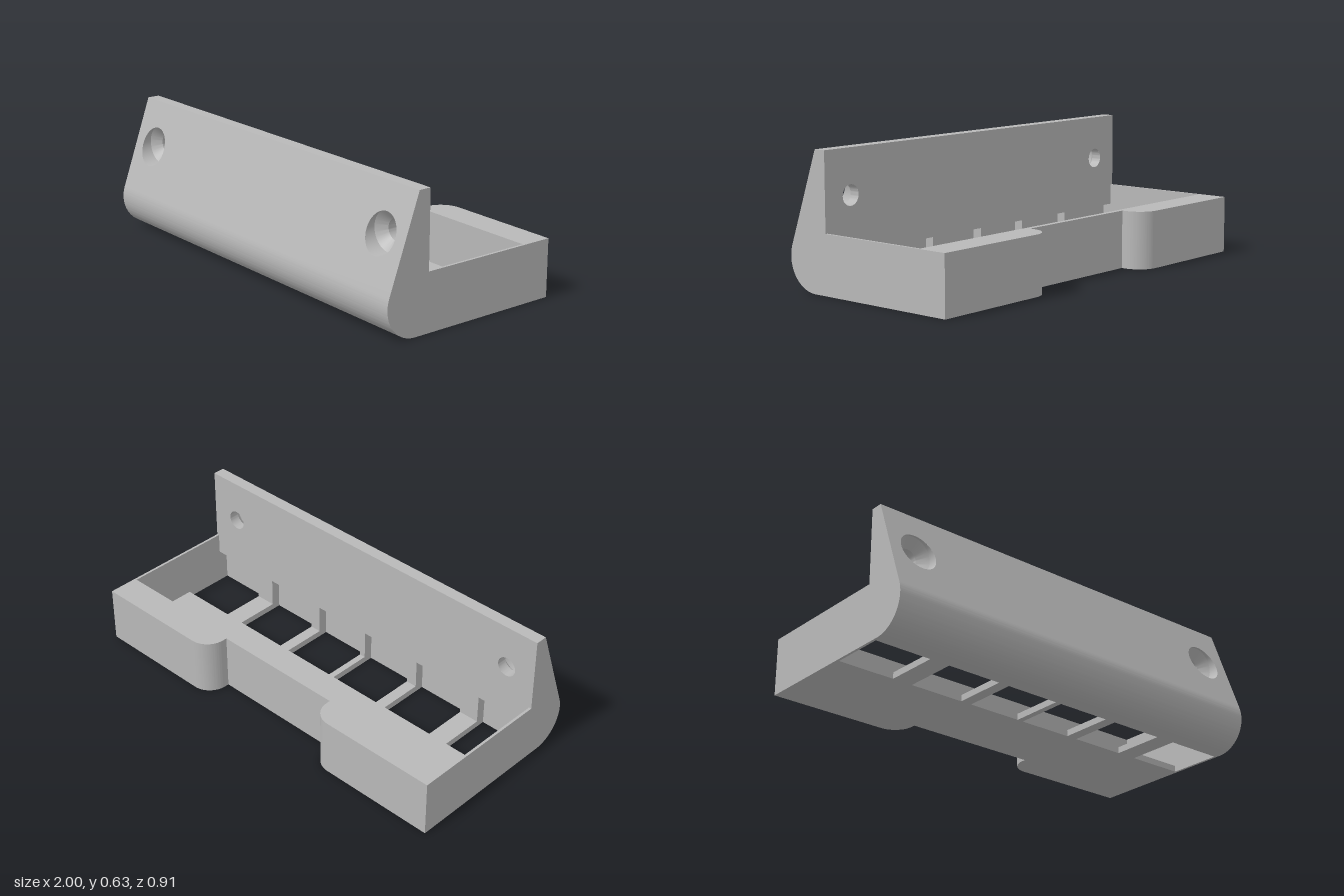
import * as THREE from 'three';
import { toCreasedNormals } from 'three/addons/utils/BufferGeometryUtils.js';

const H = 0.27, TOP = 0.627, BACK = 0.235, FLOOR = 0.03, WALL = 0.012;
const POCKET_Z = 0.28, POCKET_Y = 0.17, HOLE_X = 0.85, HOLE_Y = 0.42, R = 0.09, r = 0.047;
// depth of the sloping front face at a given height
const slopeZ = (y) => 0.446 - 0.358 * (y - 0.2);

export function createModel() {
  const model = new THREE.Group();
  const grey = new THREE.MeshStandardMaterial({ color: 0xb8b8b8 });

  const add = (name, geometry, parent = model) => {
    const mesh = new THREE.Mesh(geometry, grey);
    mesh.name = name;
    parent.add(mesh);
    return mesh;
  };
  const box = (name, x0, x1, y0, y1, z0, z1) => {
    const g = new THREE.BoxGeometry(x1 - x0, y1 - y0, z1 - z0);
    add(name, g.translate((x0 + x1) / 2, (y0 + y1) / 2, (z0 + z1) / 2));
  };
  // extrude a (z, y) profile along x
  const slab = (name, shape, x0, x1) => {
    const g = new THREE.ExtrudeGeometry(shape, { depth: x1 - x0, bevelEnabled: false, curveSegments: 32 });
    add(name, toCreasedNormals(g.rotateY(-Math.PI / 2).translate(x1, 0, 0), 0.5));
  };
  const wedge = (y0, y1) => new THREE.Shape([
    new THREE.Vector2(BACK, y0), new THREE.Vector2(slopeZ(y0), y0),
    new THREE.Vector2(slopeZ(y1), y1), new THREE.Vector2(BACK, y1),
  ]);

  // rounded lower front, undercut by the pockets
  const winY0 = 0.32, winY1 = 0.52, winX0 = 0.755, winX1 = 0.945;
  const nose = new THREE.Shape();
  nose.moveTo(POCKET_Z, 0);
  nose.lineTo(0.305, 0);
  nose.absarc(0.305, 0.15, 0.15, -Math.PI / 2, 0.344, false);
  nose.lineTo(slopeZ(winY0), winY0);
  nose.lineTo(BACK, winY0);
  nose.lineTo(BACK, POCKET_Y);
  nose.lineTo(POCKET_Z, POCKET_Y);
  slab('roundedFront', nose, -1, 1);

  // upright plate around the two screw hole windows
  slab('plateTop', wedge(winY1, TOP), -1, 1);
  slab('plateMiddle', wedge(winY0, winY1), -winX0, winX0);
  slab('plateEnd', wedge(winY0, winY1), winX1, 1);
  slab('plateEnd', wedge(winY0, winY1), -1, -winX1);

  // countersunk screw holes: front sheet, back sheet and stepped bore
  const sheet = (radius) => {
    const w = (winX1 - winX0) / 2, h = (winY1 - winY0) / 2;
    const s = new THREE.Shape([[-w, -h], [w, -h], [w, h], [-w, h]].map(([x, y]) => new THREE.Vector2(x, y)));
    s.holes.push(new THREE.Path().absarc(0, 0, radius, 0, Math.PI * 2, true));
    return new THREE.ShapeGeometry(s, 48);
  };
  for (const side of [-1, 1]) {
    const hole = new THREE.Group();
    hole.name = 'screwHole';
    hole.position.set(side * HOLE_X, HOLE_Y, 0);
    model.add(hole);

    // lay a ring or sheet onto the sloping face
    const ontoSlope = (g, from) => {
      const p = g.attributes.position;
      for (let i = 0; i < p.count; i++) {
        if (p.getZ(i) >= from) p.setZ(i, slopeZ(HOLE_Y + p.getY(i)));
      }
      return g;
    };
    const front = ontoSlope(sheet(R), -1);
    front.computeVertexNormals();
    add('holeFrontFace', front, hole);
    add('holeBackFace', sheet(r).rotateY(Math.PI).translate(0, 0, BACK), hole);

    const profile = [[R, 0.5], [R, 0.325], [r, 0.285], [r, BACK]].map(([x, y]) => new THREE.Vector2(x, y));
    const bore = ontoSlope(new THREE.LatheGeometry(profile, 48).rotateX(Math.PI / 2), 0.49);
    add('holeBore', toCreasedNormals(bore, 0.5), hole);
  }

  // tray floor, end walls and the ribs between the openings
  const inner = 1 - WALL;
  box('floor', -inner, inner, 0, FLOOR, -0.31, 0.02);
  for (const [x0, x1] of [[-1, -inner], [inner, 1]]) {
    box('endWall', x0, x1, 0, H, -0.31, BACK);
    box('pocketEnd', x0, x1, 0, POCKET_Y, BACK, POCKET_Z);
  }
  for (const [x, w] of [[-0.66, 0.1], [-0.312, 0.055], [0, 0.03], [0.312, 0.055], [0.66, 0.1]]) {
    box('floorRib', x - w / 2, x + w / 2, 0, FLOOR, 0.02, BACK);
    box('pocketRib', x - w / 2, x + w / 2, 0, POCKET_Y, BACK, POCKET_Z);
  }

  // rear wall with a rounded recess in the middle
  const rear = new THREE.Shape();
  rear.moveTo(-1, 0.31);
  rear.lineTo(1, 0.31);
  rear.lineTo(1, 0.455);
  rear.absarc(0.43, 0.355, 0.1, Math.PI / 2, Math.PI, false);
  rear.lineTo(0.33, 0.335);
  rear.lineTo(-0.33, 0.335);
  rear.absarc(-0.43, 0.355, 0.1, 0, Math.PI / 2, false);
  rear.lineTo(-1, 0.455);
  const rearGeometry = new THREE.ExtrudeGeometry(rear, { depth: H, bevelEnabled: false, curveSegments: 20 });
  add('rearWall', toCreasedNormals(rearGeometry.rotateX(-Math.PI / 2), 0.5));

  return model;
}
